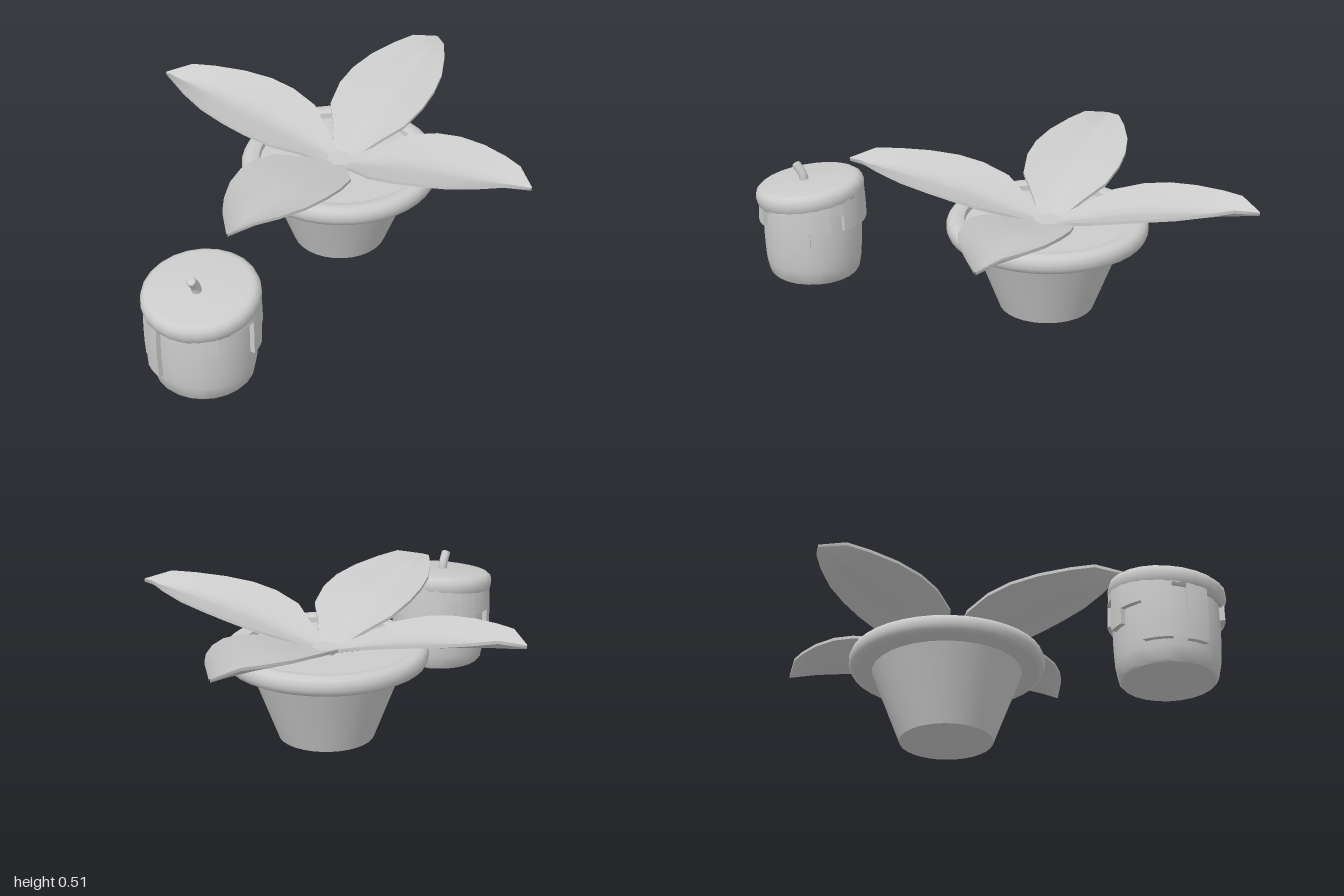
import * as THREE from 'three';
import { toCreasedNormals } from 'three/addons/utils/BufferGeometryUtils.js';

const material = new THREE.MeshStandardMaterial({ color: 0xcccccc });
const rad = THREE.MathUtils.degToRad;

function part(name, geometry) {
  const mesh = new THREE.Mesh(geometry, material);
  mesh.name = name;
  return mesh;
}

// Turned part from [radius, height] points, listed bottom to top on the outside
function turned(name, points, sides, crease = 0.7) {
  const lathe = new THREE.LatheGeometry(points.map(([r, y]) => new THREE.Vector2(r, y)), sides);
  return part(name, toCreasedNormals(lathe, crease));
}

// Leaf running along +z: a cupped, V-shaped section swept through stations
// of [distance, half width, midrib height, edge height]
function leafGeometry() {
  const stations = [
    [0.04, 0.05, 0.345, 0.352], [0.12, 0.1, 0.365, 0.39], [0.21, 0.165, 0.39, 0.432],
    [0.32, 0.186, 0.42, 0.463], [0.42, 0.183, 0.437, 0.482], [0.53, 0.16, 0.452, 0.495],
    [0.64, 0.115, 0.465, 0.507], [0.72, 0.07, 0.475, 0.515], [0.8, 0.002, 0.488, 0.49],
  ];
  const across = 8, thickness = 0.012, ring = 2 * (across + 1);
  const positions = [], index = [];
  stations.forEach(([r, w, mid, edge], i) => {
    for (let j = 0; j < ring; j++) {
      const top = j <= across;
      const u = (top ? j : ring - 1 - j) / across * 2 - 1;
      const y = mid + (edge - mid) * Math.abs(u) ** 1.2;
      positions.push(u * w, top ? y : y - thickness, r);
      if (i === stations.length - 1) continue;
      const a = i * ring + j, d = i * ring + (j + 1) % ring;
      index.push(a, a + ring, d + ring, a, d + ring, d);
    }
  });
  const geometry = new THREE.BufferGeometry();
  geometry.setAttribute('position', new THREE.Float32BufferAttribute(positions, 3));
  geometry.setIndex(index);
  return toCreasedNormals(geometry, 0.8);
}

function createPlant() {
  const plant = new THREE.Group();
  plant.name = 'pottedPlant';
  plant.position.z = -0.2;
  plant.add(turned('pot', [[0, 0], [0.18, 0], [0.295, 0.3]], 32));
  plant.add(turned('potRim', [
    [0.28, 0.288], [0.355, 0.288], [0.372, 0.297], [0.38, 0.315], [0.38, 0.335],
    [0.372, 0.353], [0.355, 0.362], [0.325, 0.362], [0.312, 0.355], [0.308, 0.32],
  ], 40));
  plant.add(turned('soil', [[0.312, 0.335], [0, 0.335]], 32));

  // Square stem where the four leaves meet
  const stem = part('stem', new THREE.BoxGeometry(0.1, 0.04, 0.1));
  stem.position.y = 0.328;
  plant.add(stem);

  const leaf = leafGeometry();
  for (let i = 0; i < 4; i++) {
    const mesh = part('leaf', leaf);
    mesh.rotation.y = i * Math.PI / 2;
    plant.add(mesh);
  }
  return plant;
}

// Barrel radius of the candle at height y
const barrel = (y) => 0.193 - 0.3 * (y - 0.2) ** 2;

// Square-edged wax run: a box bent around the barrel between two angles
function waxRun(from, to, bottom, top) {
  const geometry = new THREE.BoxGeometry(1, 1, 1, Math.ceil((to - from) / 8), 4, 1);
  const p = geometry.attributes.position;
  for (let i = 0; i < p.count; i++) {
    const angle = rad(from + (p.getX(i) + 0.5) * (to - from));
    const y = bottom + (p.getY(i) + 0.5) * (top - bottom);
    const r = barrel(y) + (p.getZ(i) > 0 ? 0.018 : -0.01);
    p.setXYZ(i, Math.sin(angle) * r, y, Math.cos(angle) * r);
  }
  return part('waxRun', toCreasedNormals(geometry, 0.7));
}

function createCandle() {
  const candle = new THREE.Group();
  candle.name = 'candle';
  candle.position.z = 0.768;

  const profile = [[0, 0], [0.17, 0], [0.178, 0.01]];
  for (let y = 0.06; y < 0.34; y += 0.05) profile.push([barrel(y), y]);
  candle.add(turned('candleBody', profile, 24));

  // Tilted cap of melted wax, lower at the front
  const cap = turned('waxCap', [
    [0.17, -0.075], [0.2, -0.075], [0.211, -0.06], [0.214, -0.035], [0.209, -0.014],
    [0.195, -0.003], [0.18, 0], [0, 0],
  ], 24, 0.9);
  cap.position.set(0, 0.375, 0.012);
  cap.rotation.x = 0.14;
  candle.add(cap);

  // Stepped lower edge: [from angle, to angle, bottom height], 0 = front, 90 = left
  const runs = [
    [-40, -17, 0.075], [24, 48, 0.225], [91, 111, 0.155], [111, 134, 0.23],
    [134, 150, 0.29], [150, 210, 0.225], [210, 231, 0.3], [231, 250, 0.17],
    [250, 275, 0.23], [275, 305, 0.08],
  ];
  for (const [from, to, bottom] of runs) {
    const top = 0.325 - 0.03 * Math.cos(rad((from + to) / 2));
    candle.add(waxRun(from, to, bottom, top));
  }
  candle.add(waxRun(48, 91, 0.295, 0.32), waxRun(-55, -40, 0.29, 0.31), waxRun(-17, 24, 0.29, 0.3));

  // Bent wick leaning forward
  const path = new THREE.CatmullRomCurve3([
    new THREE.Vector3(0, 0.35, 0.03), new THREE.Vector3(0, 0.39, 0.035), new THREE.Vector3(0, 0.432, 0.062),
  ]);
  candle.add(part('wick', new THREE.TubeGeometry(path, 6, 0.018, 10)));
  const tip = part('wickTip', new THREE.SphereGeometry(0.018, 10, 6));
  tip.scale.y = 0.4;
  tip.rotation.x = 0.55;
  tip.position.set(0, 0.432, 0.062);
  candle.add(tip);
  return candle;
}

export function createModel() {
  const model = new THREE.Group();
  model.name = 'plantAndCandle';
  model.add(createPlant(), createCandle());
  return model;
}
